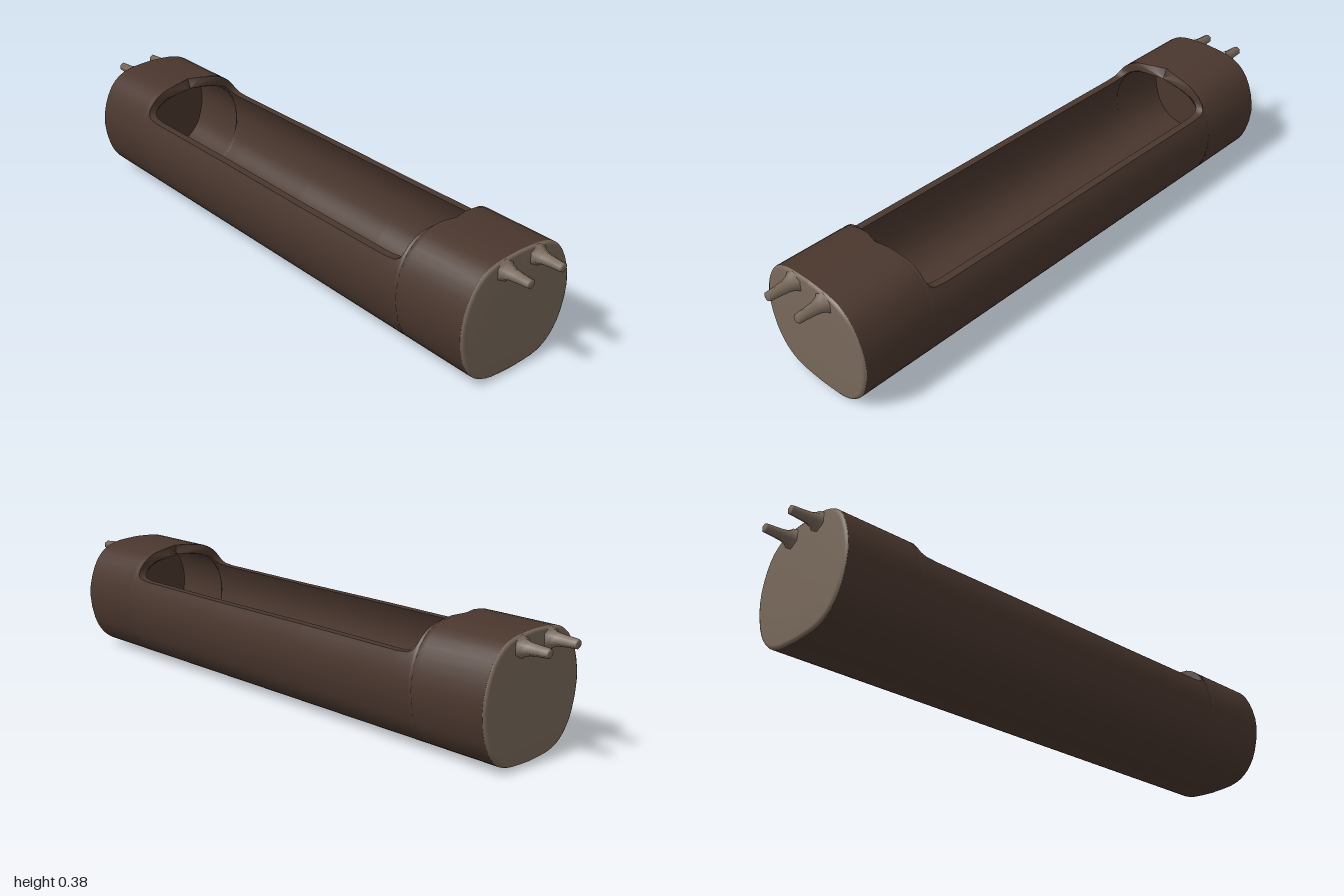
import * as THREE from 'three';
import { mergeGeometries } from 'three/addons/utils/BufferGeometryUtils.js';

const CY = 0.2, SEG = 44;

// right half of the log's cross-section, from the top to the bottom
const half = new THREE.CatmullRomCurve3([
  [0, 0.39], [0.08, 0.385], [0.13, 0.371], [0.172, 0.338], [0.204, 0.275], [0.217, 0.2],
  [0.198, 0.105], [0.17, 0.057], [0.135, 0.027], [0.09, 0.011], [0, 0.005],
].map(([x, y]) => new THREE.Vector3(x, y, 0)));

// point on the full section: u = 0 top, 1 bottom, 2 top again on the left
function section(u, sx, sy) {
  const p = half.getPoint(u <= 1 ? u : 2 - u);
  return [(u <= 1 ? 1 : -1) * p.x * sx, CY + (p.y - CY) * sy];
}

// parameter at which the section drops to height c
function cutAt(c, sy) {
  let lo = 0, hi = 0.6;
  if (section(0, 1, sy)[1] <= c) return 0;
  for (let k = 0; k < 30; k++) {
    const mid = (lo + hi) / 2;
    if (section(mid, 1, sy)[1] > c) lo = mid; else hi = mid;
  }
  return hi;
}

// smooth surface through rows of points
function sheet(rows, flip) {
  const n = rows[0].length, index = [];
  for (let i = 0; i < rows.length - 1; i++) {
    for (let j = 0; j < n - 1; j++) {
      const a = i * n + j, b = a + n;
      if (flip) index.push(a, b, a + 1, a + 1, b, b + 1);
      else index.push(a, a + 1, b, a + 1, b + 1, b);
    }
  }
  const g = new THREE.BufferGeometry();
  g.setAttribute('position', new THREE.Float32BufferAttribute(rows.flat(2), 3));
  g.setIndex(index);
  g.computeVertexNormals();
  return g;
}

function ring(z, c, sx, sy) {
  const u0 = cutAt(c, sy), row = [];
  for (let j = 0; j <= SEG; j++) row.push([...section(u0 + (2 - 2 * u0) * j / SEG, sx, sy), z]);
  return row;
}

export function createModel() {
  const bark = new THREE.MeshStandardMaterial({ color: 0x4a372e });
  bark.name = 'dark bark';
  const wood = new THREE.MeshStandardMaterial({ color: 0x78685a });
  wood.name = 'cut wood';
  const model = new THREE.Group();
  model.name = 'hollowLogTrough';
  const add = (name, geometry, material, parent = model) => {
    const m = new THREE.Mesh(geometry, material);
    m.name = name;
    parent.add(m);
    return m;
  };

  // stations along the log: z and the height at which the wall is cut open
  const end = [[0.9, 0.4], [0.665, 0.4], [0.652, 0.388], [0.645, 0.378], [0.642, 0.365],
    [0.641, 0.35], [0.64, 0.33], [0.634, 0.313], [0.618, 0.303], [0.58, 0.299]];
  const stations = [...end, [0.2, 0.298], [-0.2, 0.3], ...end.map(([z, c]) => [-z, c]).reverse()];
  const SX = 0.91, SY = 0.85;
  const outer = stations.map(([z, c]) => ring(z, c, 1, 1));
  const inner = stations.map(([z, c]) => ring(z, c, SX, SY));

  add('outerShell', sheet(outer, false), bark);
  add('innerHollow', sheet(inner, true), bark);

  // rim around the opening, including the arched lips
  const rim = (j) => sheet(outer.map((row, i) => [row[j], inner[i][j]]).slice(1, -1), j === 0);
  add('openingRim', mergeGeometries([rim(0), rim(SEG)]), bark);

  // both ends are alike: inner wall, cut face and two pegs
  const disc = (steps, sx, sy, flip) => sheet(steps.map(([s, z]) => ring(z, 1, s * sx, s * sy)), flip);
  const wall = disc([[1, 0.87], [0.001, 0.87]], SX, SY, false);
  const face = disc([[1, 0.898], [0.985, 0.904], [0.95, 0.908], [0.5, 0.909], [0.001, 0.909]], 1, 1, true);
  const pegShape = [[0.036, 0], [0.026, 0.012], [0.02, 0.03], [0.017, 0.06], [0.015, 0.09], [0.011, 0.094], [0, 0.094]];
  const peg = new THREE.LatheGeometry(pegShape.map(([r, h]) => new THREE.Vector2(r, h)), 6);
  peg.rotateX(Math.PI / 2);

  ['front', 'back'].forEach((side, k) => {
    const g = new THREE.Group();
    g.name = side + 'End';
    g.rotation.y = k * Math.PI;
    add(side + 'InnerWall', wall, bark, g);
    add(side + 'CutFace', face, wood, g);
    for (const x of [-0.065, 0.065]) add(side + 'Peg', peg, wood, g).position.set(x, 0.353, 0.906);
    model.add(g);
  });
  return model;
}
